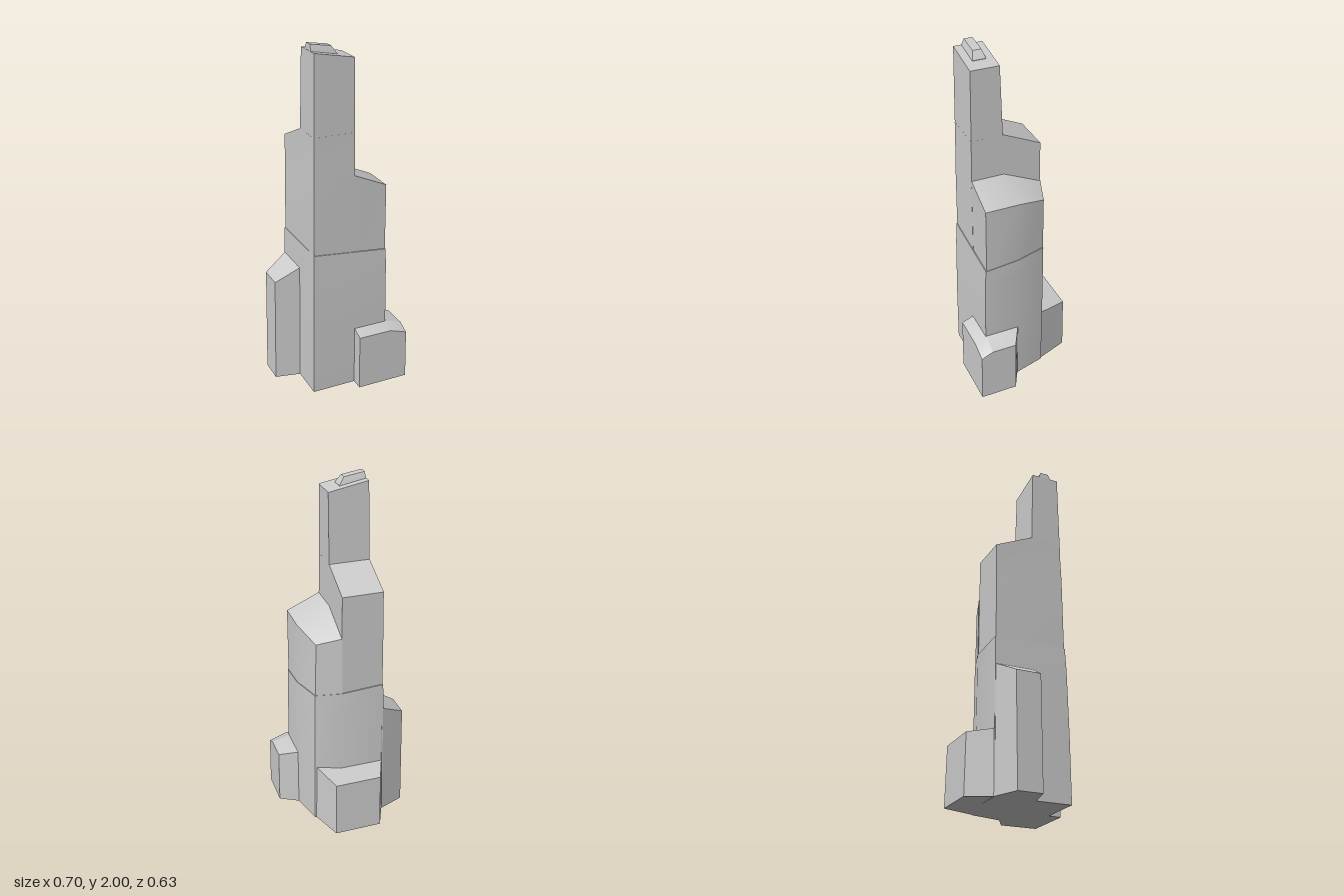
import * as THREE from 'three';
import { toCreasedNormals } from 'three/addons/utils/BufferGeometryUtils.js';

const material = new THREE.MeshStandardMaterial({ color: 0xcccccc });

// Closed solid through stacked rings of [x, y, z] corners (counter-clockwise from above);
// the caps fan out from the first corner.
function loft(name, rings) {
  const n = rings[0].length;
  const index = [];
  for (let r = 0; r < rings.length - 1; r++) {
    for (let i = 0; i < n; i++) {
      const a = r * n + i, b = r * n + (i + 1) % n;
      index.push(a, b, b + n, a, b + n, a + n);
    }
  }
  const top = (rings.length - 1) * n;
  for (let i = 1; i < n - 1; i++) {
    index.push(0, i + 1, i, top, top + i, top + i + 1);
  }
  const geometry = new THREE.BufferGeometry();
  geometry.setAttribute('position', new THREE.Float32BufferAttribute(rings.flat(2), 3));
  geometry.setIndex(index);
  const mesh = new THREE.Mesh(toCreasedNormals(geometry, 0.4), material);
  mesh.name = name;
  return mesh;
}

// Ring from [x, z] corners, with one height or a height per corner
const ring = (corners, y) => corners.map(([x, z], i) => [x, Array.isArray(y) ? y[i] : y, z]);

// Prism standing on the ground with its own top height at each corner
function buttress(name, base, topCorners, heights) {
  return loft(name, [ring(base, 0), ring(topCorners, heights)]);
}

export function createModel() {
  const group = new THREE.Group();
  group.name = 'rockSpire';

  // Lower body with a slightly sloping shelf
  const body = (left, right, front, back) => [
    [left, front], [right, front], [right, 0.043], [back, -0.135], [0.045, -0.18], [left, -0.18],
  ];
  group.add(loft('lowerBody', [
    ring(body(-0.21, 0.245, 0.245, 0.197), 0),
    ring(body(-0.206, 0.243, 0.245, 0.195), 0.36),
    ring(body(-0.202, 0.24, 0.24, 0.19), [0.73, 0.72, 0.73, 0.73, 0.73, 0.73]),
    ring(body(-0.198, 0.238, 0.235, 0.188), [0.865, 0.82, 0.84, 0.84, 0.85, 0.865]),
  ]));

  // Right shoulder
  const shoulder = (right, front, back) => [
    [0.043, 0.043], [0.043, front], [right, front], [right, 0.04], [back, -0.135], [0.043, -0.178],
  ];
  group.add(loft('shoulder', [
    ring(shoulder(0.236, 0.23, 0.186), 0.7),
    ring(shoulder(0.234, 0.229, 0.178), [1.29, 1.29, 1.205, 1.205, 1.155, 1.19]),
  ]));

  // Main tower with its sloping rear ledge
  const tower = (left, right, front) => [
    [left, 0.045], [left, front], [right, front], [right, 0.045], [right, -0.174], [left, -0.174],
  ];
  group.add(loft('tower', [
    ring(tower(-0.197, 0.045, 0.232), 0.7),
    ring(tower(-0.193, 0.045, 0.229), [1.29, 1.29, 1.29, 1.29, 1.19, 1.19]),
    ring(tower(-0.19, 0.043, 0.226), [1.42, 1.42, 1.42, 1.42, 1.31, 1.31]),
    ring(tower(-0.19, 0.042, 0.225), [1.53, 1.53, 1.53, 1.53, 1.43, 1.43]),
  ]));

  // Upper spire with a slanted roof
  const spire = (left, right, back, front) => [
    [left, back], [left, front], [right, front], [right, back],
  ];
  group.add(loft('spire', [
    ring(spire(-0.19, 0.042, 0.045, 0.225), 1.5),
    ring(spire(-0.185, 0.04, 0.06, 0.22), [1.967, 1.967, 1.925, 1.925]),
  ]));

  // Small ridge on the roof
  group.add(loft('roofRidge', [
    ring(spire(-0.183, -0.035, 0.1, 0.178), [1.95, 1.95, 1.93, 1.93]),
    ring(spire(-0.183, -0.035, 0.102, 0.176), [1.967, 1.967, 1.941, 1.941]),
    ring(spire(-0.18, -0.065, 0.115, 0.163), [2, 2, 1.982, 1.982]),
  ]));

  // Buttresses around the foot
  group.add(buttress('leftButtress',
    [[-0.352, -0.125], [-0.352, 0.013], [-0.2, 0.046], [-0.2, -0.185]],
    [[-0.342, -0.125], [-0.342, 0.015], [-0.195, 0.044], [-0.195, -0.18]],
    [0.63, 0.63, 0.71, 0.71]));

  group.add(buttress('backButtress',
    [[-0.145, -0.318], [-0.205, -0.185], [0.045, -0.178], [0.192, -0.13], [0.125, -0.318]],
    [[-0.143, -0.312], [-0.2, -0.178], [0.045, -0.175], [0.185, -0.13], [0.122, -0.312]],
    [0.333, 0.352, 0.352, 0.36, 0.333]));

  const foot = [
    [0.24, 0.24], [0.047, 0.24], [0.047, 0.315], [0.245, 0.315],
    [0.35, 0.315], [0.35, 0.245], [0.35, 0.103], [0.24, 0.042],
  ];
  group.add(buttress('frontButtress', foot, foot.map(([x, z]) => [Math.min(x, 0.346), Math.min(z, 0.312)]),
    [0.36, 0.36, 0.33, 0.33, 0.295, 0.325, 0.325, 0.36]));

  return group;
}
